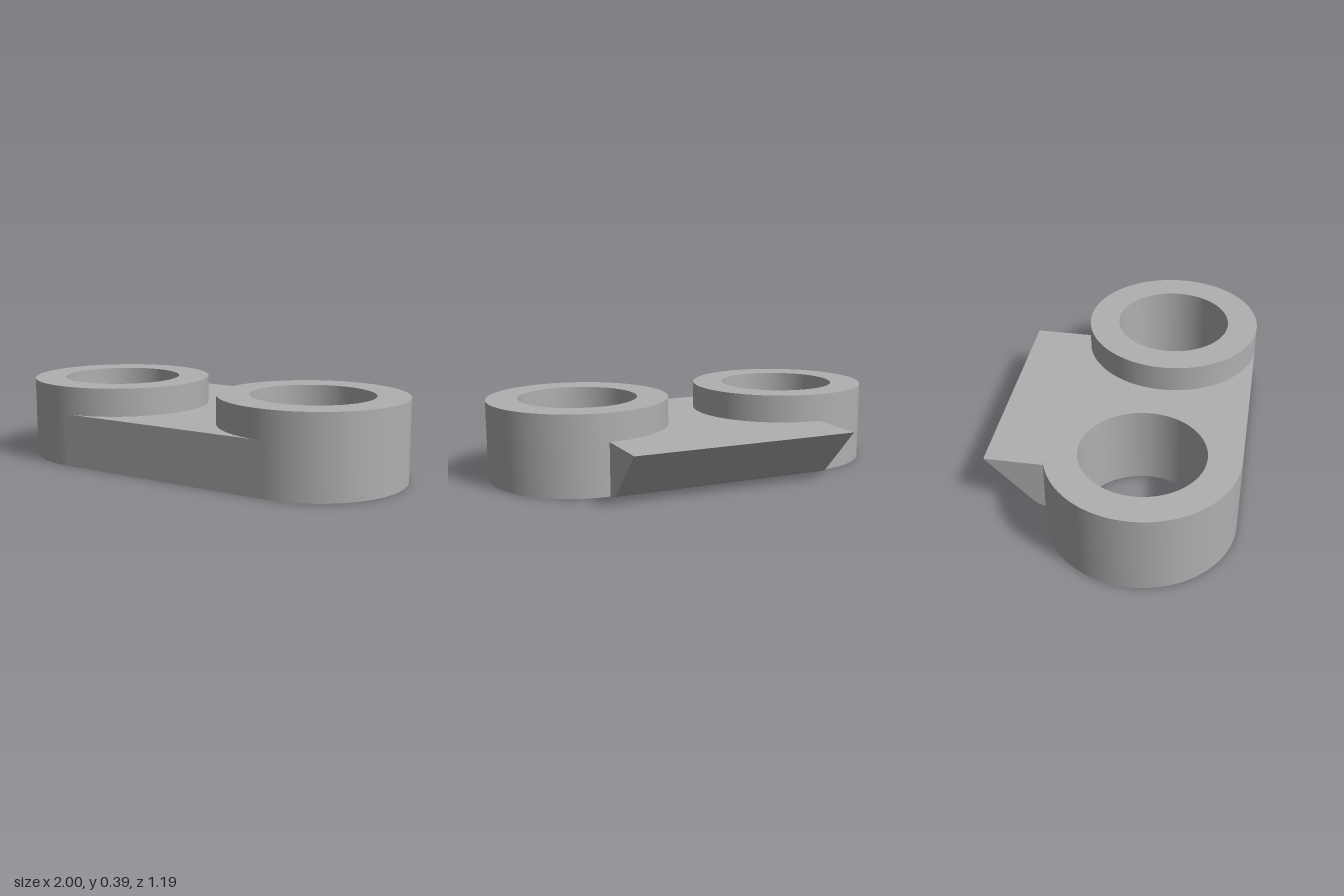
import * as THREE from 'three';
import { toCreasedNormals } from 'three/addons/utils/BufferGeometryUtils.js';

const X = 0.557, Z = 0.15;        // ring centres at (+-X, Z)
const OUTER = 0.443, INNER = 0.29;
const RING_H = 0.39, WEB_H = 0.255;
const BACK = Z - OUTER;

// Extrude a plan drawn in (x, z) upward from the ground
function extrudePlan(shape, height, curveSegments) {
  const geo = new THREE.ExtrudeGeometry(shape, { depth: height, bevelEnabled: false, curveSegments });
  geo.rotateX(Math.PI / 2).translate(0, height, 0);
  return toCreasedNormals(geo, 0.5);
}

export function createModel() {
  const group = new THREE.Group();
  group.name = 'twinRingLink';
  const grey = new THREE.MeshStandardMaterial({ color: 0xb0b0b0 });
  grey.name = 'grey';

  const add = (geo, name) => {
    const mesh = new THREE.Mesh(geo, grey);
    mesh.name = name;
    group.add(mesh);
  };

  // Two tall rings with through holes
  for (const side of [1, -1]) {
    const ring = new THREE.Shape().absarc(side * X, Z, OUTER, 0, Math.PI * 2, false);
    ring.holes.push(new THREE.Path().absarc(side * X, Z, INNER, 0, Math.PI * 2, true));
    add(extrudePlan(ring, RING_H, 48), side > 0 ? 'leftRing' : 'rightRing');
  }

  // Lower web filling the space between the rings
  const web = new THREE.Shape();
  web.moveTo(-X, Z + OUTER);
  web.lineTo(X, Z + OUTER);
  web.absarc(X, Z, OUTER, Math.PI / 2, Math.PI * 1.5, false);
  web.lineTo(-X, BACK);
  web.absarc(-X, Z, OUTER, -Math.PI / 2, Math.PI / 2, false);
  add(extrudePlan(web, WEB_H, 24), 'web');

  // Rear lip: side profile in (z, y) with a rounded foot and 45 degree underside
  const lip = new THREE.Shape();
  lip.moveTo(BACK, 0);
  lip.lineTo(BACK, WEB_H);
  lip.lineTo(-0.593, WEB_H);
  lip.lineTo(-0.37, 0.032);
  lip.quadraticCurveTo(-0.338, 0, BACK, 0);
  const lipGeo = new THREE.ExtrudeGeometry(lip, { depth: 2 * X, bevelEnabled: false, curveSegments: 12 });
  lipGeo.rotateY(-Math.PI / 2).translate(X, 0, 0);
  add(toCreasedNormals(lipGeo, 0.5), 'rearLip');

  return group;
}
